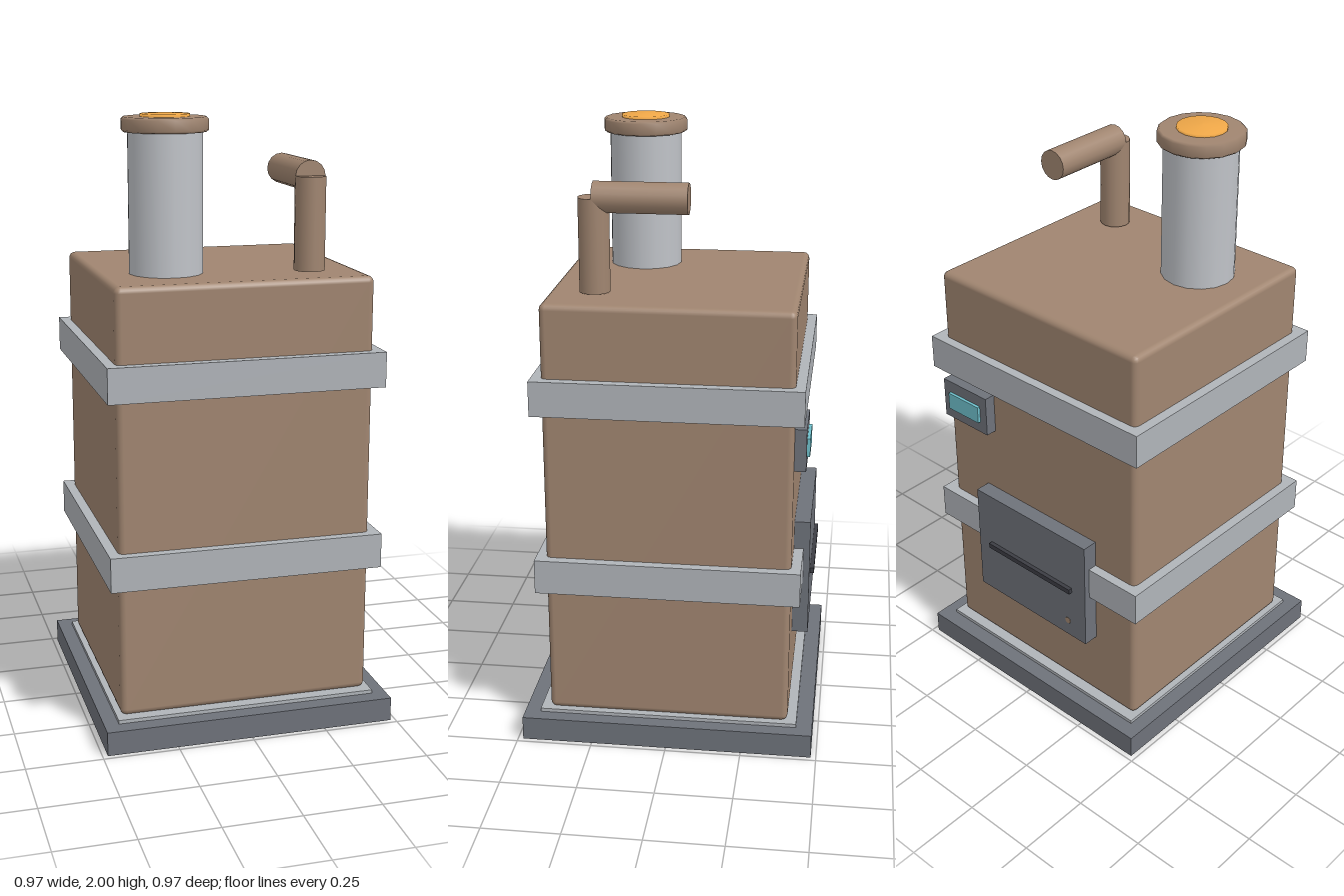
import * as THREE from 'three';
import { RoundedBoxGeometry } from 'three/addons/geometries/RoundedBoxGeometry.js';

const mat = (color) => new THREE.MeshStandardMaterial({ color });

export function createModel() {
  const group = new THREE.Group();
  const brown = mat(0xa08570), iron = mat(0x6e727a), steel = mat(0xb0b4b9);
  const pale = mat(0xc0c3c8), amber = mat(0xf0a848), cyan = mat(0x6fc0cc), dark = mat(0x3c3d44);

  const add = (name, geometry, material, x, y, z) => {
    const mesh = new THREE.Mesh(geometry, material);
    mesh.name = name;
    mesh.position.set(x, y, z);
    group.add(mesh);
    return mesh;
  };
  // Box given by its lower and upper corners
  const box = (name, material, [x0, y0, z0], [x1, y1, z1]) =>
    add(name, new THREE.BoxGeometry(x1 - x0, y1 - y0, z1 - z0), material,
      (x0 + x1) / 2, (y0 + y1) / 2, (z0 + z1) / 2);

  // Base slab, thin plinth and softly rounded tank
  box('base', iron, [-0.483, 0, -0.483], [0.483, 0.08, 0.483]);
  box('plinth', steel, [-0.435, 0.08, -0.43], [0.435, 0.092, 0.43]);
  add('tank', new RoundedBoxGeometry(0.84, 1.405, 0.8, 2, 0.02), brown, 0, 0.7925, 0);

  // Straps around the tank
  for (const y of [0.53, 1.14]) {
    box('strap', steel, [-0.453, y, -0.432], [0.453, y + 0.115, 0.432]);
  }

  // Chimney with a rounded rim and a glowing cap
  const cx = -0.2, cz = 0.15;
  add('chimney', new THREE.CylinderGeometry(0.12, 0.12, 0.45, 16), pale, cx, 1.715, cz);
  const rim = [[0, 0], [0.132, 0], [0.14, 0.007], [0.14, 0.04], [0.132, 0.047], [0, 0.047]]
    .map(([r, y]) => new THREE.Vector2(r, y));
  add('chimneyRim', new THREE.LatheGeometry(rim, 16), brown, cx, 1.94, cz);
  const cap = [[0.08, 0], [0.08, 0.013], [0, 0.017]].map(([r, y]) => new THREE.Vector2(r, y));
  add('glowCap', new THREE.LatheGeometry(cap, 16), amber, cx, 1.983, cz);

  // Bent outlet pipe
  add('pipeRiser', new THREE.CylinderGeometry(0.05, 0.05, 0.3, 16), brown, 0.25, 1.65, 0.25);
  add('pipeArm', new THREE.CylinderGeometry(0.05, 0.05, 0.3, 16), brown, 0.25, 1.8, 0.1)
    .rotation.x = Math.PI / 2;

  // Rear hatch with a slot and a small stud
  box('hatch', iron, [-0.25, 0.34, -0.453], [0.25, 0.74, -0.395]);
  box('hatchSlot', dark, [-0.19, 0.53, -0.467], [0.19, 0.548, -0.45]);
  add('hatchStud', new THREE.CylinderGeometry(0.012, 0.012, 0.01, 8), brown, -0.17, 0.4, -0.45)
    .rotation.x = Math.PI / 2;

  // Rear display
  box('displayHousing', iron, [0.2, 0.975, -0.438], [0.4, 1.115, -0.395]);
  box('displayScreen', cyan, [0.23, 1.015, -0.448], [0.37, 1.075, -0.435]);

  return group;
}
